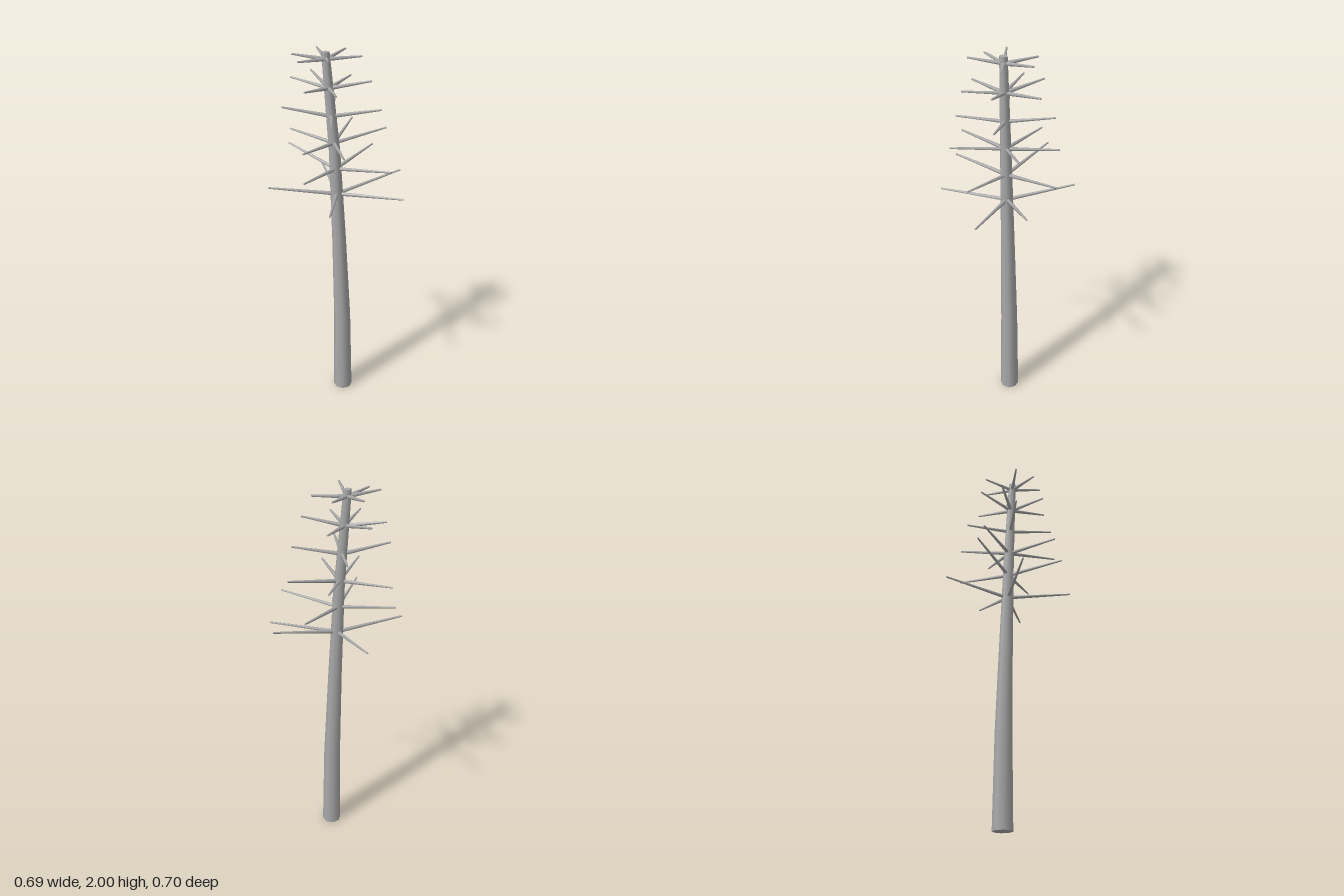
import * as THREE from 'three';

// Trunk rings from ground to top: [x, z, radius], evenly spaced in y
const RINGS = [
  [0.043, -0.02, 0.053],
  [0.037, -0.017, 0.046],
  [0.018, -0.007, 0.037],
  [-0.006, 0.005, 0.029],
  [-0.049, 0.02, 0.02],
];
const HEIGHT = 2;

// Branch whorls: height on the trunk and the tips [x, y, z]
const WHORLS = [
  { y: 1.265, tips: [[-0.084, 1.32, -0.349], [0.343, 1.35, -0.124], [0.341, 1.285, 0.122], [-0.346, 1.31, 0.031], [-0.028, 1.295, 0.348]] },
  { y: 1.405, tips: [[-0.251, 1.475, -0.198], [0.272, 1.448, 0.163], [0.199, 1.45, -0.252], [-0.15, 1.437, 0.28]] },
  { y: 1.545, tips: [[0.258, 1.597, -0.083], [-0.238, 1.565, -0.163], [0.039, 1.56, 0.28], [0.087, 1.595, -0.262], [-0.153, 1.573, 0.245]] },
  { y: 1.685, tips: [[-0.265, 1.73, 0.01], [-0.004, 1.72, -0.237], [0.221, 1.725, 0.04], [-0.019, 1.708, 0.253]] },
  { y: 1.825, tips: [[0.17, 1.87, 0.055], [-0.223, 1.86, -0.066], [-0.127, 1.87, -0.172], [0.076, 1.845, -0.165], [0.002, 1.84, 0.218], [-0.145, 1.85, 0.185]] },
  { y: 1.965, tips: [[-0.209, 1.99, 0.019], [0.125, 1.978, 0.014], [-0.035, 1.993, 0.189], [-0.095, 1.988, -0.143], [0.048, 1.985, -0.128], [-0.175, 1.975, 0.126]] },
];

// Interpolated trunk centre and radius at a given height
function trunkAt(y) {
  const t = THREE.MathUtils.clamp(y / HEIGHT, 0, 1) * (RINGS.length - 1);
  const i = Math.min(Math.floor(t), RINGS.length - 2);
  return RINGS[i].map((v, k) => THREE.MathUtils.lerp(v, RINGS[i + 1][k], t - i));
}

// Tapered cylinder bent along the trunk line
function trunkGeometry() {
  const geo = new THREE.CylinderGeometry(1, 1, HEIGHT, 8, RINGS.length - 1);
  geo.translate(0, HEIGHT / 2, 0);
  const p = geo.attributes.position;
  for (let i = 0; i < p.count; i++) {
    const [x, z, r] = trunkAt(p.getY(i));
    p.setX(i, x + p.getX(i) * r);
    p.setZ(i, z + p.getZ(i) * r);
  }
  return geo;
}

// Thin tapered rod from the trunk centre to a tip
function makeBranch(y, tip, material) {
  const [x, z] = trunkAt(y);
  const start = new THREE.Vector3(x, y, z);
  const span = new THREE.Vector3(...tip).sub(start);
  const length = span.length();
  const geo = new THREE.CylinderGeometry(0.0045, 0.0105, length, 6);
  geo.translate(0, length / 2, 0);
  const mesh = new THREE.Mesh(geo, material);
  mesh.position.copy(start);
  mesh.quaternion.setFromUnitVectors(new THREE.Vector3(0, 1, 0), span.normalize());
  mesh.name = 'branch';
  return mesh;
}

export function createModel() {
  const model = new THREE.Group();
  model.name = 'bareTree';
  const bark = new THREE.MeshStandardMaterial({ color: 0xaaaaaa });
  bark.name = 'greyBark';

  const trunk = new THREE.Mesh(trunkGeometry(), bark);
  trunk.name = 'trunk';
  model.add(trunk);

  WHORLS.forEach(({ y, tips }, i) => {
    const whorl = new THREE.Group();
    whorl.name = `branchWhorl${i + 1}`;
    tips.forEach((tip) => whorl.add(makeBranch(y, tip, bark)));
    model.add(whorl);
  });
  return model;
}
